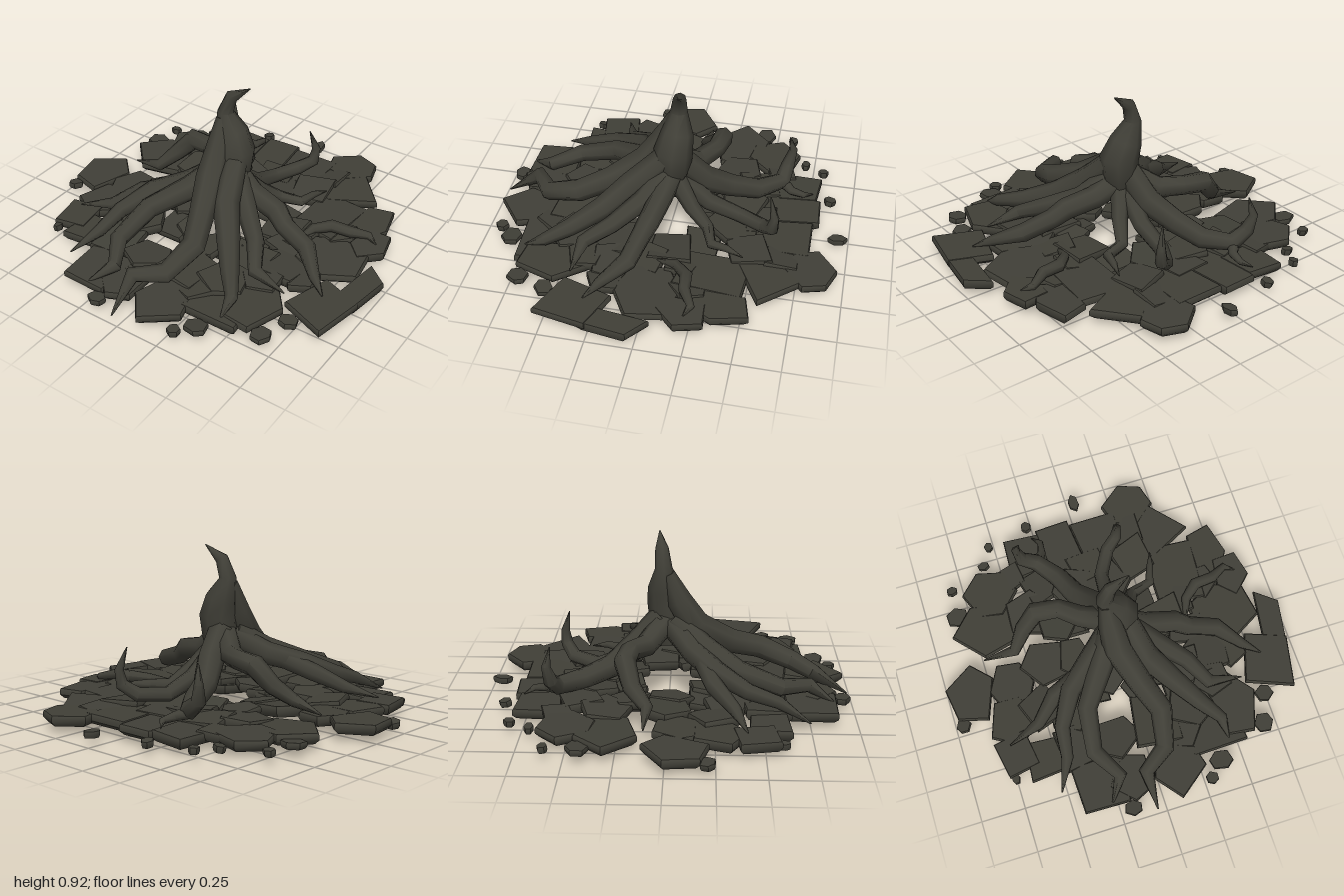
import * as THREE from 'three';
import { toCreasedNormals } from 'three/addons/utils/BufferGeometryUtils.js';

const darkEarth = new THREE.MeshStandardMaterial({ color: 0x403f37 });
darkEarth.name = 'darkEarth';

let seed = 11;
const rand = () => ((seed = (seed * 16807) % 2147483647) / 2147483647);
const jitter = (a) => (rand() * 2 - 1) * a;

// skin a stack of rings (arrays of Vector3) and cap both ends
function loft(rings, crease) {
  const n = rings[0].length, pos = [], index = [];
  rings.flat().forEach((p) => pos.push(p.x, p.y, p.z));
  for (let i = 0; i < rings.length - 1; i++) {
    for (let j = 0; j < n; j++) {
      const a = i * n + j, b = i * n + (j + 1) % n;
      index.push(a, a + n, b, b, a + n, b + n);
    }
  }
  const top = (rings.length - 1) * n;
  for (let j = 1; j < n - 1; j++) {
    index.push(0, j, j + 1, top, top + j + 1, top + j);
  }
  const geo = new THREE.BufferGeometry();
  geo.setAttribute('position', new THREE.Float32BufferAttribute(pos, 3));
  geo.setIndex(index);
  return toCreasedNormals(geo, crease);
}

function addMesh(group, geo, name) {
  const mesh = new THREE.Mesh(geo, darkEarth);
  mesh.name = name;
  group.add(mesh);
  return mesh;
}

// irregular stone: outline fitted to half width hw and half depth hd
function stone(hw, hd, sides, turn, h) {
  const pts = [];
  for (let i = 0; i < sides; i++) {
    const a = THREE.MathUtils.degToRad(turn) + ((i + jitter(0.12)) / sides) * Math.PI * 2;
    pts.push(new THREE.Vector2(Math.cos(a), Math.sin(a)));
  }
  const box = new THREE.Box2().setFromPoints(pts);
  const mid = box.getCenter(new THREE.Vector2()), size = box.getSize(new THREE.Vector2());
  const ring = (s, y) => pts.map((p) => new THREE.Vector3(
    ((p.x - mid.x) / size.x) * 2 * hw * s, y, ((p.y - mid.y) / size.y) * 2 * hd * s));
  return loft([ring(0.85, -h / 2), ring(1, -h * 0.1), ring(1, h * 0.35), ring(0.96, h / 2)], 0.75);
}

// kinked tapering root through points [x, y, z, radius]
function root(points, sides = 7) {
  const curve = new THREE.CatmullRomCurve3(points.map((p) => new THREE.Vector3(p[0], p[1], p[2])));
  const dir = curve.getTangent(0);
  const u = new THREE.Vector3(0.31, 0.2, 0.93).cross(dir).normalize();
  const rings = points.map(([x, y, z, r], i) => {
    const t = curve.getTangent(i / (points.length - 1));
    u.applyQuaternion(new THREE.Quaternion().setFromUnitVectors(dir, t));
    dir.copy(t);
    const v = u.clone().cross(t);
    return Array.from({ length: sides }, (_, j) => {
      const a = (j / sides) * Math.PI * 2;
      return new THREE.Vector3(x, y, z).addScaledVector(u, Math.cos(a) * r).addScaledVector(v, Math.sin(a) * r);
    });
  });
  return loft(rings, 1.0);
}

// stones: [x, z, half width, half depth, sides, turn]
const outerStones = [
  [0.34, -0.82, 0.15, 0.14, 6, 20], [0.43, -0.61, 0.21, 0.17, 4, 17], [0.11, -0.64, 0.14, 0.16, 4, 45],
  [-0.12, -0.65, 0.12, 0.18, 4, 45], [-0.33, -0.68, 0.12, 0.13, 4, 45], [-0.6, -0.51, 0.16, 0.15, 6, 10],
  [-0.69, -0.3, 0.19, 0.16, 5, 30], [-0.86, 0.05, 0.14, 0.17, 5, 60], [-0.63, 0.07, 0.13, 0.14, 6, 0],
  [-0.68, 0.28, 0.14, 0.14, 5, 20], [-0.71, 0.46, 0.11, 0.12, 4, 40], [-0.56, 0.53, 0.11, 0.11, 4, 40],
  [-0.31, 0.76, 0.14, 0.14, 4, 45], [-0.15, 0.77, 0.12, 0.14, 5, 30], [0.13, 0.79, 0.15, 0.18, 5, 95],
  [0.38, 0.67, 0.17, 0.1, 4, 40], [0.54, 0.53, 0.14, 0.2, 5, 60], [0.81, 0.36, 0.16, 0.19, 4, 65],
  [0.92, 0.12, 0.08, 0.18, 4, 65], [0.67, 0, 0.19, 0.18, 6, 25], [0.79, -0.2, 0.1, 0.13, 5, 15],
  [0.71, -0.38, 0.1, 0.17, 5, 80], [0.48, -0.31, 0.15, 0.2, 4, 50],
];
const innerStones = [
  [0.26, -0.48, 0.12, 0.14, 4, 30], [0.07, -0.35, 0.15, 0.15, 5, 10], [-0.13, -0.4, 0.13, 0.13, 5, 40],
  [-0.4, -0.32, 0.14, 0.14, 5, 70], [-0.3, -0.46, 0.12, 0.13, 4, 30], [-0.42, 0.0, 0.14, 0.13, 5, 35],
  [-0.5, 0.24, 0.13, 0.14, 4, 20], [-0.35, 0.32, 0.12, 0.13, 5, 0], [-0.37, 0.52, 0.12, 0.13, 4, 35],
  [-0.15, 0.55, 0.14, 0.12, 5, 10], [0.08, 0.5, 0.14, 0.16, 4, 55], [0.3, 0.48, 0.14, 0.14, 5, 20],
  [0.31, 0.28, 0.13, 0.13, 4, 45], [0.48, 0.2, 0.14, 0.14, 5, 50], [0.32, -0.07, 0.12, 0.12, 4, 40],
  [0.22, 0.62, 0.11, 0.1, 5, 0], [0.46, 0.38, 0.11, 0.1, 5, 30], [0.42, 0.04, 0.12, 0.1, 4, 60],
];
const coreStones = [
  [0.6, -0.2, 0.1, 0.1, 5, 15], [0, -0.5, 0.12, 0.1, 4, 40], [-0.27, -0.2, 0.11, 0.11, 5, 0],
  [-0.24, 0.02, 0.1, 0.12, 5, 20], [-0.08, -0.22, 0.11, 0.1, 4, 30], [0.06, 0.28, 0.1, 0.1, 5, 50],
  [0.27, 0.12, 0.09, 0.1, 4, 35], [-0.1, 0.2, 0.09, 0.09, 5, 10], [0.28, -0.66, 0.09, 0.09, 4, 40],
  [-0.46, -0.57, 0.08, 0.09, 4, 30], [0.62, 0.24, 0.09, 0.1, 5, 25], [0.42, -0.14, 0.1, 0.1, 5, 40],
];
const pebbles = [
  [0.04, -0.94, 0.03, 0.055], [-0.28, -0.87, 0.03, 0.035], [-0.53, -0.81, 0.025, 0.03],
  [-0.59, -0.7, 0.033, 0.025], [-0.81, -0.6, 0.03, 0.027], [-0.82, -0.43, 0.06, 0.06],
  [-0.95, 0.21, 0.043, 0.04], [-0.75, 0.59, 0.022, 0.03], [-0.18, 0.94, 0.05, 0.043],
  [0.29, 0.91, 0.033, 0.037], [0.37, 0.83, 0.065, 0.055], [0.67, 0.7, 0.055, 0.055], [0.73, 0.54, 0.053, 0.05],
];

const trunk = [[0.1, 0.92, -0.055, 0.003], [-0.005, 0.85, -0.04, 0.036], [-0.04, 0.75, -0.03, 0.047],
  [0.005, 0.64, -0.03, 0.088], [0.04, 0.54, -0.015, 0.107], [0.03, 0.42, -0.01, 0.1], [0.01, 0.3, 0.0, 0.06]];

const roots = {
  frontRoot: [[-0.04, 0.72, -0.01, 0.04], [-0.03, 0.57, 0.05, 0.07], [-0.02, 0.42, 0.14, 0.085], [0.05, 0.31, 0.33, 0.07],
    [0.12, 0.25, 0.5, 0.065], [0.08, 0.18, 0.69, 0.055], [-0.06, 0.17, 0.79, 0.045], [-0.05, 0.04, 0.98, 0.004]],
  frontRightRoot: [[-0.03, 0.44, 0.03, 0.07], [-0.13, 0.34, 0.18, 0.07], [-0.27, 0.26, 0.37, 0.058],
    [-0.3, 0.18, 0.6, 0.05], [-0.2, 0.15, 0.76, 0.04], [-0.28, 0.09, 0.88, 0.006]],
  rightForkRoot: [[-0.03, 0.42, 0.02, 0.07], [-0.18, 0.33, 0.13, 0.065], [-0.33, 0.28, 0.25, 0.06],
    [-0.43, 0.21, 0.42, 0.045], [-0.45, 0.16, 0.58, 0.035], [-0.53, 0.08, 0.74, 0.004]],
  rightBranch: [[-0.25, 0.3, 0.18, 0.05], [-0.42, 0.24, 0.24, 0.05], [-0.55, 0.16, 0.35, 0.035], [-0.73, 0.12, 0.41, 0.004]],
  frontLeftRoot: [[0.06, 0.5, 0.03, 0.07], [0.12, 0.34, 0.2, 0.075], [0.23, 0.24, 0.34, 0.065],
    [0.35, 0.17, 0.5, 0.05], [0.44, 0.14, 0.62, 0.035], [0.45, 0.09, 0.73, 0.004]],
  leftForkRoot: [[0.06, 0.42, 0.02, 0.07], [0.2, 0.3, 0.12, 0.06], [0.35, 0.23, 0.26, 0.05],
    [0.44, 0.16, 0.4, 0.04], [0.63, 0.12, 0.42, 0.004]],
  leftRoot: [[0.05, 0.4, 0, 0.08], [0.18, 0.33, 0.02, 0.065], [0.35, 0.3, 0.05, 0.062],
    [0.42, 0.25, 0.08, 0.055], [0.58, 0.2, 0.12, 0.052], [0.7, 0.14, 0.24, 0.03], [0.79, 0.1, 0.31, 0.004]],
  rightRoot: [[-0.01, 0.44, -0.02, 0.07], [-0.15, 0.35, -0.12, 0.062], [-0.26, 0.36, -0.2, 0.055],
    [-0.39, 0.35, -0.22, 0.06], [-0.48, 0.25, -0.18, 0.05], [-0.56, 0.17, -0.1, 0.035], [-0.74, 0.13, -0.11, 0.004]],
  backRoot: [[0, 0.46, -0.04, 0.075], [-0.04, 0.32, -0.17, 0.075], [-0.13, 0.22, -0.31, 0.065], [-0.19, 0.17, -0.46, 0.058],
    [-0.29, 0.17, -0.59, 0.05], [-0.37, 0.23, -0.61, 0.04], [-0.39, 0.32, -0.63, 0.025], [-0.37, 0.42, -0.61, 0.003]],
  backTwig: [[-0.29, 0.16, -0.59, 0.035], [-0.24, 0.14, -0.65, 0.025], [-0.23, 0.13, -0.72, 0.018], [-0.27, 0.11, -0.77, 0.003]],
  backLeftRoot: [[0.02, 0.36, -0.04, 0.06], [0.04, 0.22, -0.22, 0.05], [0.05, 0.16, -0.4, 0.042], [0.13, 0.17, -0.54, 0.04],
    [0.2, 0.22, -0.59, 0.035], [0.21, 0.3, -0.6, 0.025], [0.18, 0.42, -0.57, 0.003]],
  leftBackRoot: [[0.04, 0.38, -0.02, 0.06], [0.13, 0.24, -0.14, 0.045], [0.19, 0.16, -0.24, 0.035],
    [0.31, 0.15, -0.28, 0.028], [0.34, 0.16, -0.37, 0.02], [0.37, 0.14, -0.46, 0.003]],
  surfaceRoot: [[0.43, 0.1, 0.02, 0.004], [0.48, 0.13, -0.12, 0.028], [0.56, 0.14, -0.19, 0.035],
    [0.67, 0.14, -0.2, 0.032], [0.76, 0.12, -0.25, 0.022], [0.82, 0.1, -0.22, 0.003]],
};

export function createModel() {
  const model = new THREE.Group();
  model.name = 'rootedStump';

  // ring of paving stones
  const stones = new THREE.Group();
  stones.name = 'stones';
  model.add(stones);
  const place = (list, name, y, h, tilt) => list.forEach(([x, z, hw, hd, sides = 6, turn = rand() * 90]) => {
    const mesh = addMesh(stones, stone(hw, hd, sides, turn, h), name);
    mesh.position.set(x, y + jitter(0.004), z);
    mesh.rotation.set(jitter(tilt), 0, jitter(tilt));
  });
  place(outerStones, 'outerStone', 0.071, 0.058, 0.03);
  place(innerStones, 'innerStone', 0.083, 0.06, 0.11);
  place(coreStones, 'coreStone', 0.08, 0.05, 0.14);
  place(pebbles, 'pebble', 0.062, 0.035, 0.15);

  // stones sinking outward around the trunk
  for (const sx of [-1, 1]) for (const sz of [-1, 1]) {
    const mesh = addMesh(stones, stone(0.1, 0.1, 4, 45, 0.05), 'leaningStone');
    mesh.position.set(sx * 0.21, 0.052, sz * 0.21);
    mesh.rotation.set(sz * 0.13, 0, -sx * 0.13);
  }

  // trunk and spreading roots
  const growth = new THREE.Group();
  growth.name = 'growth';
  model.add(growth);
  addMesh(growth, root(trunk, 8), 'trunk');
  for (const [name, points] of Object.entries(roots)) addMesh(growth, root(points), name);
  return model;
}
